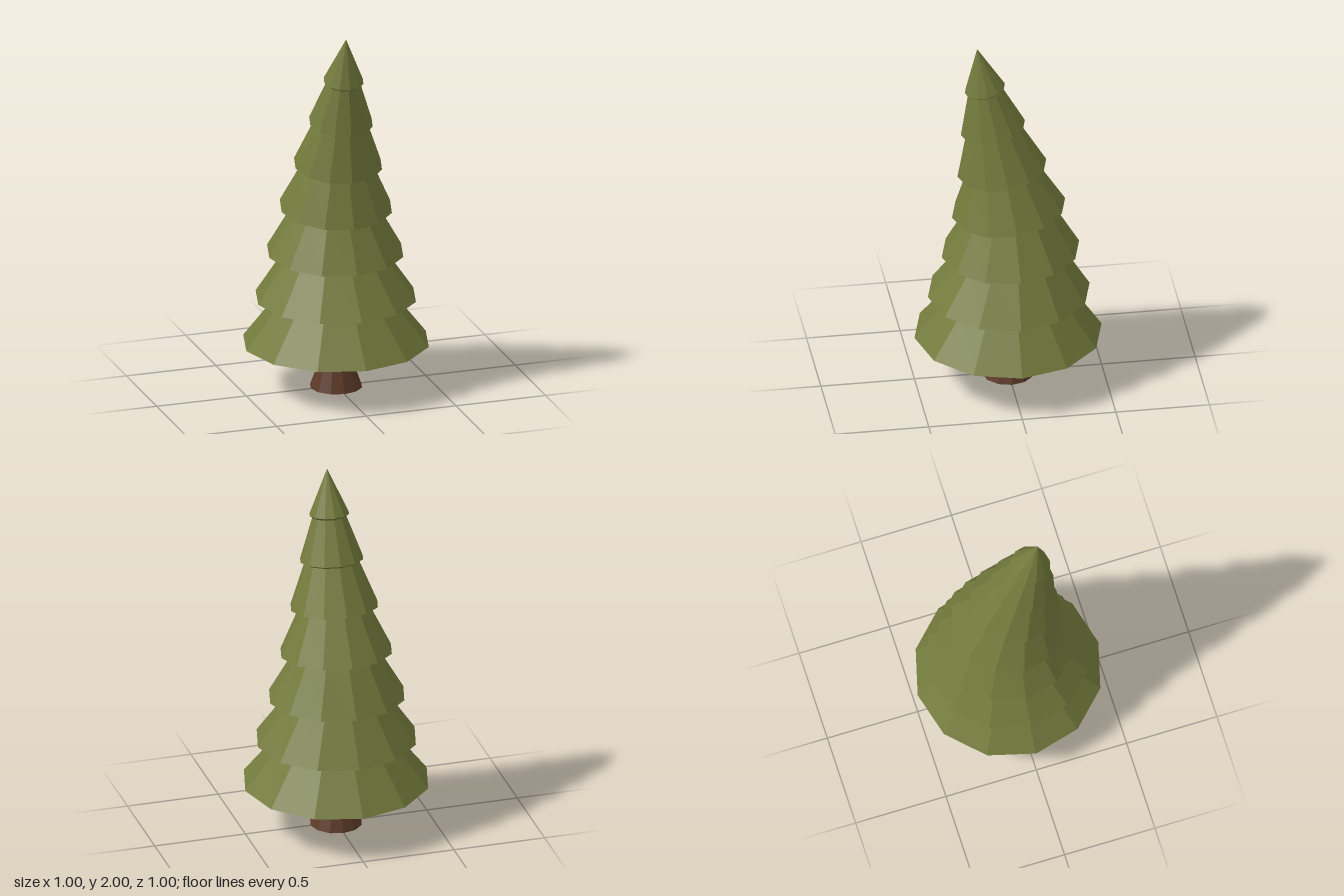
import * as THREE from 'three';

const SIDES = 12;

// Low-poly stack of rings; each ring is [radius, height, forward shift, forward slope].
function loftRings(rings) {
  const profile = rings.map(([r, y]) => new THREE.Vector2(r, y));
  const geometry = new THREE.LatheGeometry(profile, SIDES);
  const pos = geometry.attributes.position;
  for (let i = 0; i < pos.count; i++) {
    const [, y, shift, slope] = rings[i % rings.length];
    const z = pos.getZ(i);
    pos.setY(i, y - slope * z);
    pos.setZ(i, z + shift);
  }
  const flat = geometry.toNonIndexed();
  flat.computeVertexNormals();
  return flat;
}

function addPart(group, name, rings, color) {
  const material = new THREE.MeshStandardMaterial({ color, flatShading: true });
  const mesh = new THREE.Mesh(loftRings(rings), material);
  mesh.name = name;
  group.add(mesh);
}

export function createModel() {
  const group = new THREE.Group();
  group.name = 'leaningFirTree';

  // Flared trunk, closed at both ends
  addPart(group, 'trunk', [
    [0, 0, 0, 0],
    [0.14, 0, 0, 0],
    [0.097, 0.12, 0, 0],
    [0.07, 0.255, 0, 0],
    [0, 0.255, 0, 0],
  ], 0x5c3a28);

  // Skirts of branches: neck radius below, rim radius, rim height, shift, slope
  const tiers = [
    [0, 0.5, 0.252, 0, 0],
    [0.316, 0.432, 0.502, -0.004, 0.012],
    [0.27, 0.367, 0.754, -0.013, 0.05],
    [0.23, 0.302, 1.008, -0.003, 0.11],
    [0.19, 0.237, 1.258, 0.033, 0.14],
    [0.145, 0.171, 1.51, 0.081, 0.18],
    [0.09, 0.107, 1.755, 0.124, 0.19],
  ];
  const rings = [];
  tiers.forEach(([neck, rim, y, shift, slope], i) => {
    const drop = i ? 0.014 : 0;
    rings.push([neck, y - drop, shift, slope], [rim, y, shift, slope]);
  });
  rings.push([0, 2, 0.165, 0]); // tip
  addPart(group, 'foliage', rings, 0x737a3c);

  return group;
}
